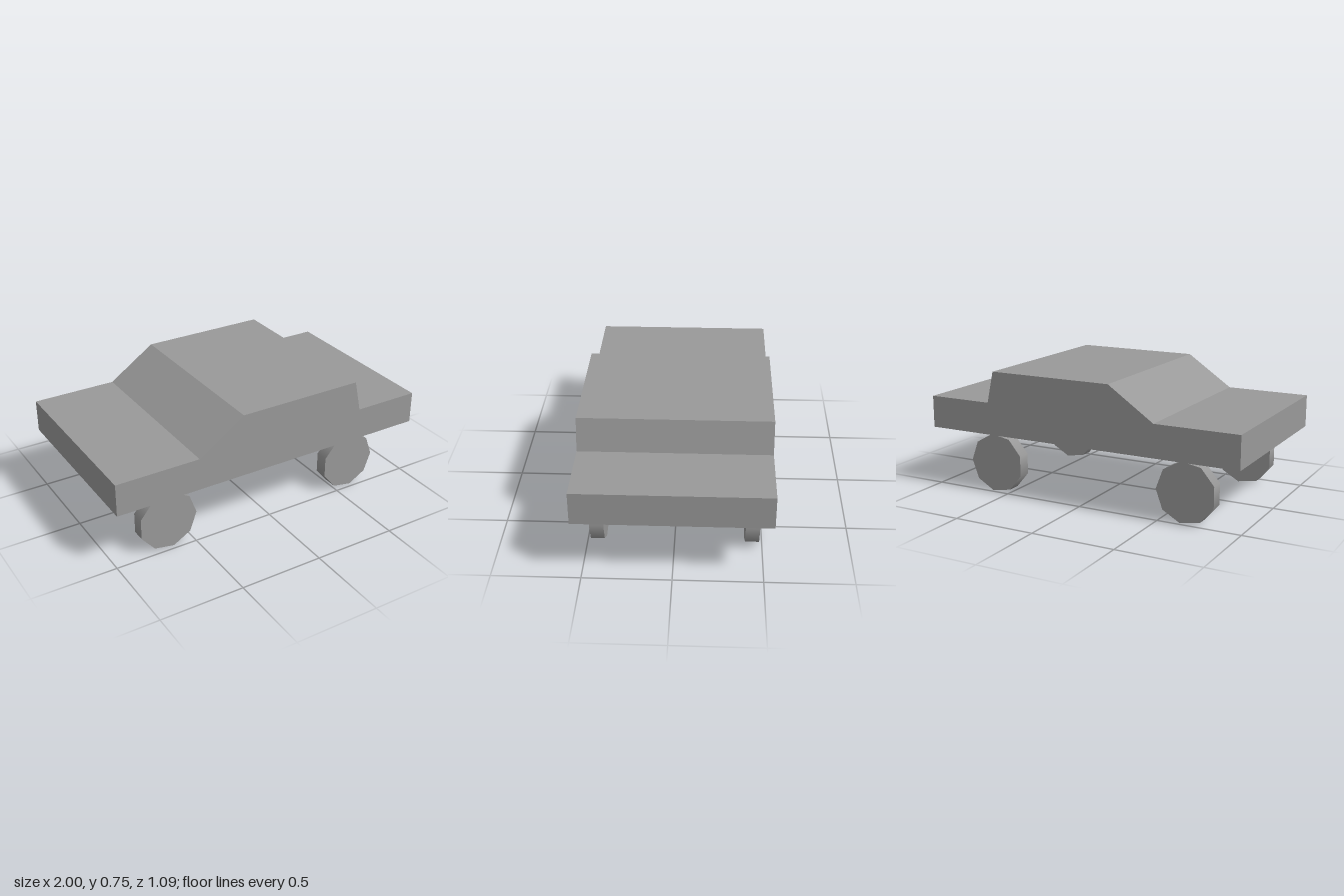
import * as THREE from 'three';

export function createModel() {
  const group = new THREE.Group();
  const material = new THREE.MeshStandardMaterial({ color: 0x999999 });

  // Car body: side profile extruded across the full width
  const width = 1.09;
  const profile = new THREE.Shape([
    [-1, 0.368], [1, 0.368], [1, 0.562], [0.594, 0.562],
    [0.552, 0.752], [-0.215, 0.752], [-0.495, 0.562], [-1, 0.562],
  ].map(([x, y]) => new THREE.Vector2(x, y)));
  const bodyGeometry = new THREE.ExtrudeGeometry(profile, { depth: width, bevelEnabled: false });
  bodyGeometry.translate(0, 0, -width / 2);
  const body = new THREE.Mesh(bodyGeometry, material);
  body.name = 'body';
  group.add(body);

  // Nine-sided wheels with a corner pointing to +x
  const radius = 0.18;
  const wheelGeometry = new THREE.CylinderGeometry(radius, radius, 0.08, 9, 1, false, Math.PI / 2);
  wheelGeometry.rotateX(Math.PI / 2);
  const wheelY = radius * Math.sin(THREE.MathUtils.degToRad(80));
  for (const [end, x] of [['front', -0.661], ['rear', 0.587]]) {
    for (const [side, z] of [['Near', 0.434], ['Far', -0.441]]) {
      const wheel = new THREE.Mesh(wheelGeometry, material);
      wheel.name = `${end}Wheel${side}`;
      wheel.position.set(x, wheelY, z);
      group.add(wheel);
    }
  }

  return group;
}
